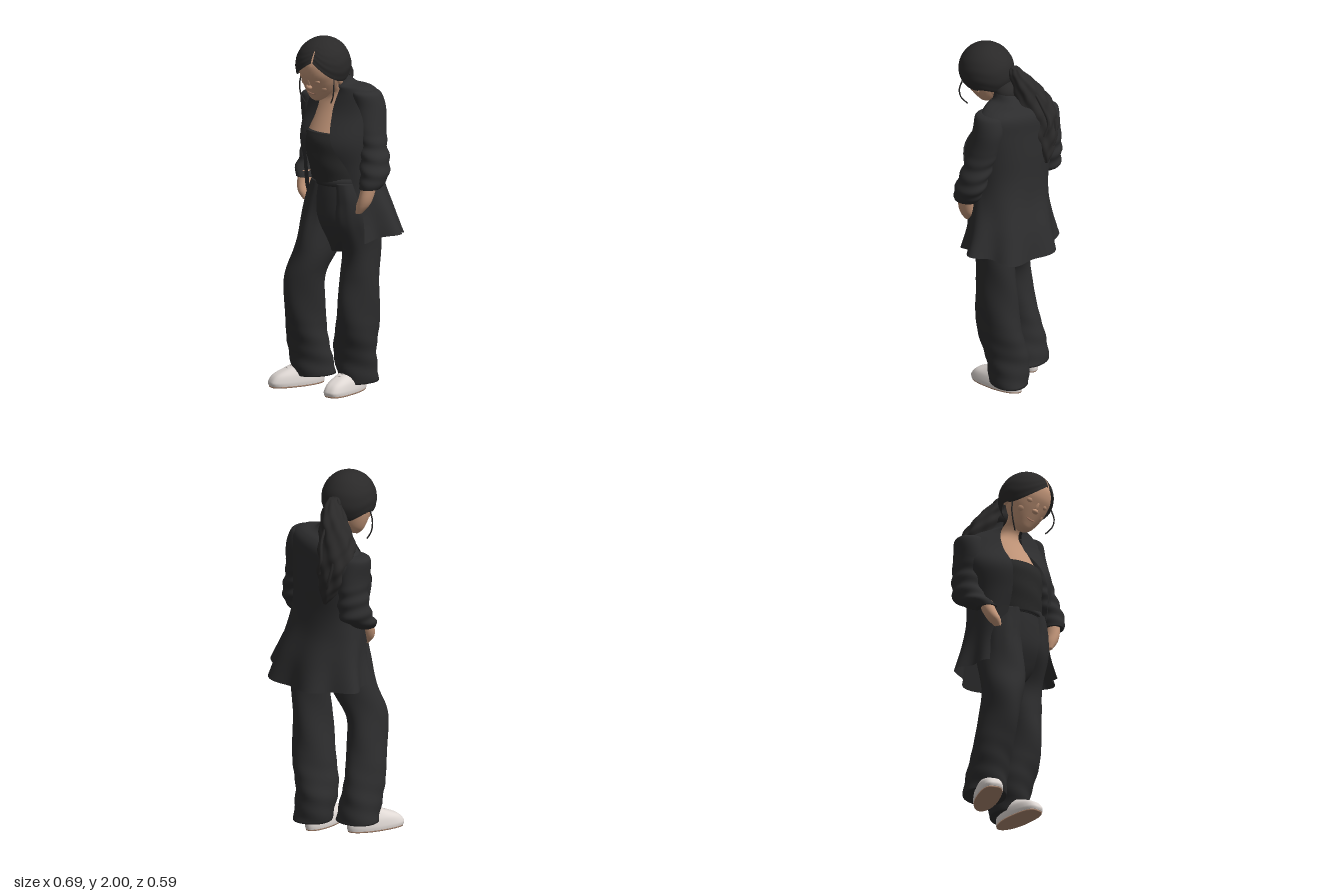
import * as THREE from 'three';
import { mergeVertices } from 'three/addons/utils/BufferGeometryUtils.js';

const mat = (name, color, side = THREE.FrontSide) => {
  const m = new THREE.MeshStandardMaterial({ color, side });
  m.name = name;
  return m;
};
const suit = mat('suit cloth', 0x2d2d2e, THREE.DoubleSide);
const topCloth = mat('top cloth', 0x292929);
const hair = mat('hair', 0x2a2929, THREE.DoubleSide);
const skin = mat('skin', 0xc4977a);
const lip = mat('lips', 0xb08069);
const white = mat('shoe leather', 0xe0d9d5);
const brown = mat('sole', 0xb08a72);

const smooth = THREE.MathUtils.smoothstep;

// Surface from a rule f(u, v): u runs around, v runs downwards
function grid(nu, nv, f) {
  const pos = [], idx = [], w = nu + 1;
  for (let i = 0; i <= nv; i++)
    for (let j = 0; j <= nu; j++) pos.push(...f(j / nu, i / nv));
  for (let i = 0; i < nv; i++)
    for (let j = 0; j < nu; j++) {
      const a = i * w + j, c = a + w;
      idx.push(a, c, a + 1, a + 1, c, c + 1);
    }
  const g = new THREE.BufferGeometry();
  g.setAttribute('position', new THREE.Float32BufferAttribute(pos, 3));
  g.setIndex(idx);
  const m = mergeVertices(g, 1e-5);
  m.computeVertexNormals();
  return m;
}

// Smooth interpolation through a list of cross-sections
function sample(secs, t) {
  const n = secs.length - 1, s = Math.min(t * n, n - 1e-6), i = Math.floor(s), f = s - i;
  const at = (k) => secs[Math.max(0, Math.min(n, k))];
  return secs[0].map((_, k) => {
    const [a, b, c, d] = [at(i - 1)[k], at(i)[k], at(i + 1)[k], at(i + 2)[k]];
    return b + 0.5 * f * (c - a + f * (2 * a - 5 * b + 4 * c - d + f * (3 * (b - c) + d - a)));
  });
}

// Closed form from sections [y, cx, cz, rx, rz], with folds in its radius
function loft(secs, fold = () => 0, nu = 40, nv = 40) {
  return grid(nu, nv + 2, (u, v) => {
    const row = Math.round(v * (nv + 2)) - 1;
    const [y, cx, cz, rx, rz] = sample(secs, Math.max(0, Math.min(1, row / nv)));
    const k = row < 0 || row > nv ? 0 : 1 + fold(u * Math.PI * 2, y);
    const a = (u % 1) * Math.PI * 2;
    return [cx + rx * k * Math.sin(a), y, cz + rz * k * Math.cos(a)];
  });
}

function add(parent, name, geo, material, x = 0, y = 0, z = 0) {
  const m = new THREE.Mesh(geo, material);
  m.name = name;
  m.position.set(x, y, z);
  parent.add(m);
  return m;
}
function ball(parent, name, material, p, s) {
  const m = add(parent, name, new THREE.SphereGeometry(1, 20, 14), material, ...p);
  m.scale.set(...s);
  return m;
}
const strand = (parent, name, material, pts, r) => add(parent, name,
  new THREE.TubeGeometry(new THREE.CatmullRomCurve3(pts.map((p) => new THREE.Vector3(...p))), 16, r, 6), material);

// Jacket sections: y, cx, cz, rx, rz, right and left opening angle, hem flare
const jacketSecs = [
  [1.745, -0.03, 0, 0.064, 0.066, -1, 0.95, 0],
  [1.705, -0.035, -0.02, 0.095, 0.088, -0.7, 0.6, 0],
  [1.68, -0.03, -0.05, 0.175, 0.105, -0.45, 0.32, 0],
  [1.635, -0.035, -0.06, 0.235, 0.122, -0.36, 0.2, 0],
  [1.55, -0.04, -0.045, 0.255, 0.142, -0.33, 0.2, 0],
  [1.42, -0.03, -0.005, 0.24, 0.19, -0.42, 0.42, 0],
  [1.28, -0.02, -0.01, 0.22, 0.188, -0.48, 0.8, 0],
  [1.15, -0.01, -0.03, 0.23, 0.182, -0.56, 0.85, 0.015],
  [1.0, 0.01, -0.06, 0.262, 0.195, -0.72, 0.82, 0.045],
  [0.855, 0.02, -0.07, 0.298, 0.217, -0.8, 0.75, 0.09],
];
function jacketPoint(t, angleOf, lift = 0) {
  const [y, cx, cz, rx, rz, r, l, flare] = sample(jacketSecs, t);
  const a = angleOf(r, l);
  const squareBack = 0.06 * Math.sin(2 * a) ** 2 * smooth(-Math.cos(a), 0, 0.3) * smooth(y, 0.95, 1.2);
  const k = 1 + lift + squareBack + flare * Math.cos(6.6 * (a - Math.PI / 2));
  const x = cx + rx * k * Math.sin(a);
  const slope = 0.14 * (x + 0.04) * smooth(y, 1.35, 1.6);
  const twist = 0.12 * (x + 0.02) * smooth(y, 1.1, 1.4);
  const hem = 0.6 * flare * Math.max(0, Math.sin(a)) ** 3;
  return [x, y + slope + hem, cz + twist + rz * k * Math.cos(a)];
}

function buildJacket(g) {
  add(g, 'jacketBody', grid(90, 60, (u, v) =>
    jacketPoint(v, (r, l) => l + u * (Math.PI * 2 + r - l))), suit);
  // Lapels: raised strips along each front edge, widest at the chest
  for (const s of [-1, 1])
    add(g, s > 0 ? 'leftLapel' : 'rightLapel', grid(8, 24, (u, v) => {
      const w = 0.1 + 0.42 * Math.max(0, 1 - Math.abs(v - 0.42) * 1.8);
      return jacketPoint(0.13 + v * 0.55, (r, l) => (s > 0 ? l + u * w : r - (1 - u) * w), 0.05);
    }), suit);
  const crumple = (a, y) => 0.06 * smooth(y, 1.15, 1.25) * (1 - smooth(y, 1.38, 1.5)) * Math.sin(75 * y + 1.5 * Math.sin(a))
    + 0.02 * Math.sin(2 * a + 22 * y);
  add(g, 'leftSleeve', loft([
    [1.69, 0.125, -0.03, 0.06, 0.06], [1.672, 0.138, -0.035, 0.077, 0.088], [1.6, 0.157, -0.04, 0.08, 0.095],
    [1.5, 0.18, -0.025, 0.077, 0.09], [1.4, 0.205, -0.01, 0.073, 0.085], [1.3, 0.235, 0.01, 0.073, 0.088],
    [1.22, 0.245, 0.035, 0.068, 0.082], [1.175, 0.235, 0.055, 0.055, 0.065]], crumple, 36, 60), suit);
  add(g, 'rightSleeve', loft([
    [1.622, -0.22, -0.07, 0.055, 0.05], [1.6, -0.238, -0.075, 0.083, 0.082], [1.5, -0.238, -0.08, 0.076, 0.097],
    [1.4, -0.237, -0.09, 0.074, 0.097], [1.28, -0.242, -0.075, 0.074, 0.1],
    [1.22, -0.237, -0.01, 0.067, 0.085], [1.175, -0.215, 0.045, 0.052, 0.06]], crumple, 36, 60), suit);
}

function buildBody(g) {
  add(g, 'neckAndChest', loft([
    [1.77, -0.025, 0.08, 0.05, 0.055], [1.7, -0.03, 0.025, 0.05, 0.052], [1.65, -0.035, -0.01, 0.07, 0.068],
    [1.58, -0.035, -0.03, 0.14, 0.11], [1.45, -0.03, -0.005, 0.18, 0.15]]), skin);
  add(g, 'camisole', loft([
    [1.46, -0.03, 0, 0.188, 0.162], [1.4, -0.03, 0, 0.19, 0.177],
    [1.28, -0.015, 0, 0.172, 0.17], [1.17, 0, 0, 0.165, 0.15]],
  (a, y) => 0.008 * Math.sin(50 * y + 2 * a)), topCloth);
  add(g, 'leftForearm', loft([
    [1.21, 0.238, 0.055, 0.036, 0.048], [1.13, 0.222, 0.068, 0.036, 0.046],
    [1.08, 0.204, 0.075, 0.034, 0.04], [1.035, 0.186, 0.088, 0.015, 0.02]]), skin);
  add(g, 'rightForearm', loft([
    [1.21, -0.218, 0.04, 0.036, 0.04], [1.15, -0.212, 0.065, 0.036, 0.04],
    [1.1, -0.195, 0.085, 0.033, 0.036], [1.06, -0.175, 0.095, 0.015, 0.018]]), skin);
}

function buildTrousers(g) {
  add(g, 'waistband', loft([[1.215, 0.005, 0, 0.164, 0.15], [1.175, 0.005, 0, 0.17, 0.156]], undefined, 40, 2), suit);
  add(g, 'hips', loft([
    [1.2, 0.005, 0, 0.16, 0.146], [1.1, 0, 0, 0.18, 0.153], [0.98, 0, 0.003, 0.195, 0.146],
    [0.88, -0.01, 0.005, 0.16, 0.11], [0.79, -0.015, 0.01, 0.06, 0.06]]), suit);
  // Loose cloth folds, deeper towards the hems
  const folds = (a, y) => 0.03 * Math.sin(3 * a + 16 * y) + 0.012 * Math.cos(12 * a) * smooth(y, 0.8, 1)
    + 0.025 * (1 - smooth(y, 0.1, 0.5)) * Math.sin(60 * y + 2 * a);
  add(g, 'rightLeg', loft([
    [1.19, -0.075, 0, 0.085, 0.14], [1.09, -0.092, 0.006, 0.1, 0.148],
    [0.97, -0.105, 0.02, 0.112, 0.146], [0.8, -0.125, 0.065, 0.112, 0.138], [0.65, -0.162, 0.112, 0.1, 0.13],
    [0.5, -0.18, 0.102, 0.095, 0.13], [0.35, -0.195, 0.07, 0.1, 0.125],
    [0.2, -0.198, 0.03, 0.11, 0.12], [0.075, -0.195, 0.005, 0.115, 0.12]], folds, 48, 72), suit);
  add(g, 'leftLeg', loft([
    [1.19, 0.08, 0, 0.085, 0.14], [1.09, 0.092, 0, 0.1, 0.148],
    [0.97, 0.095, -0.005, 0.113, 0.146], [0.8, 0.1, -0.038, 0.102, 0.112], [0.65, 0.095, -0.035, 0.098, 0.118],
    [0.5, 0.085, -0.032, 0.102, 0.13], [0.35, 0.068, -0.043, 0.11, 0.13],
    [0.2, 0.04, -0.063, 0.112, 0.12], [0.05, 0.045, -0.083, 0.1, 0.112]], folds, 48, 72), suit);
}

function buildShoe(parent, name, x, y, z, yaw) {
  const g = new THREE.Group();
  g.name = name;
  g.position.set(x, y, z);
  g.rotation.y = yaw;
  // Blunt toe and narrower heel
  const outline = (a) => 0.13 * Math.sin(2 * a) ** 2 * Math.max(0, Math.cos(a)) ** 0.5 - 0.04 * Math.max(0, -Math.cos(a));
  add(g, 'sole', loft([[0.008, 0, 0, 0.064, 0.163], [0, 0, 0, 0.063, 0.162]], outline, 40, 2), brown);
  add(g, 'upper', loft([
    [0.125, 0, -0.075, 0.036, 0.065], [0.095, 0, -0.045, 0.049, 0.117],
    [0.065, 0, -0.012, 0.061, 0.15], [0.03, 0, 0, 0.067, 0.167], [0.008, 0, 0, 0.066, 0.165]], outline), white);
  for (let i = 0; i < 2; i++)
    strand(g, 'lace', white, [[-0.028, 0.088 + i * 0.009, 0.06 - i * 0.025], [0, 0.098 + i * 0.009, 0.062 - i * 0.025],
      [0.028, 0.088 + i * 0.009, 0.06 - i * 0.025]], 0.005);
  parent.add(g);
}

function buildHead(parent) {
  const g = new THREE.Group();
  g.name = 'head';
  g.position.set(-0.02, 1.842, 0.14);
  g.rotation.set(0.43, -0.05, -0.17);
  parent.add(g);
  add(g, 'face', loft([
    [0.12, 0, 0, 0.05, 0.05], [0.09, 0, 0.004, 0.098, 0.106], [0.03, 0, 0.014, 0.122, 0.122], [-0.03, 0, 0.02, 0.12, 0.116],
    [-0.08, 0, 0.033, 0.104, 0.099], [-0.125, 0, 0.05, 0.08, 0.077], [-0.16, 0, 0.067, 0.052, 0.054],
    [-0.18, 0, 0.08, 0.02, 0.025]]), skin);
  ball(g, 'noseBridge', skin, [0, -0.035, 0.128], [0.012, 0.035, 0.014]);
  ball(g, 'noseTip', skin, [0, -0.06, 0.135], [0.019, 0.014, 0.018]);
  strand(g, 'mouth', lip, [[-0.036, -0.1, 0.116], [-0.016, -0.11, 0.126], [0.016, -0.11, 0.126], [0.036, -0.1, 0.116]], 0.005);
  for (const s of [-1, 1]) {
    ball(g, 'eyelid', skin, [s * 0.043, -0.015, 0.118], [0.026, 0.016, 0.013]);
    ball(g, 'cheek', skin, [s * 0.052, -0.07, 0.088], [0.034, 0.032, 0.028]);
    ball(g, 'ear', skin, [s * 0.117, -0.05, 0.01], [0.014, 0.035, 0.022]);
  }
  // Hair cap, cut along a hairline that peaks at the parting and drops to the nape
  const part = 0.25;
  const capPoint = (a, th, k) => {
    const q = 0.15 * k;
    return [q * 0.97 * Math.sin(th) * Math.sin(a), q * 1.02 * Math.cos(th), q * 1.03 * Math.sin(th) * Math.cos(a)];
  };
  add(g, 'hairCap', grid(72, 36, (u, v) => {
    const a = (u % 1) * Math.PI * 2;
    const d = Math.abs(Math.atan2(Math.sin(a - part), Math.cos(a - part)));
    const edge = 0.82 + 1.2 * smooth(d, -0.15, 1.5) + 0.65 * smooth(d, 1.5, 2.5);
    return capPoint(a, v * edge, 1 + 0.006 * Math.sin(34 * v) * v + 0.025 * smooth(d, 0, 0.5) * v * (1 - v));
  }), hair);
  add(g, 'parting', grid(2, 10, (u, v) => capPoint(part + (u - 0.5) * 0.09, 0.42 + v * 0.56, 1.008)), skin);
}

function buildPonytail(g) {
  ball(g, 'napeHair', hair, [-0.03, 1.75, 0.005], [0.066, 0.055, 0.066]);
  const tie = add(g, 'hairTie', new THREE.TorusGeometry(0.03, 0.012, 8, 20), hair, -0.06, 1.86, -0.035);
  tie.rotation.x = 0.5;
  add(g, 'ponytail', loft([
    [1.895, -0.055, -0.04, 0.02, 0.025], [1.86, -0.062, -0.05, 0.042, 0.05], [1.8, -0.088, -0.075, 0.068, 0.068],
    [1.72, -0.12, -0.092, 0.094, 0.084], [1.62, -0.143, -0.12, 0.11, 0.092], [1.54, -0.15, -0.135, 0.1, 0.088],
    [1.46, -0.148, -0.155, 0.075, 0.068], [1.4, -0.138, -0.178, 0.045, 0.042], [1.35, -0.13, -0.195, 0.01, 0.01]],
  (a, y) => 0.05 * Math.sin(7 * a + 24 * y) + 0.05 * Math.sin(5 * a - 60 * y), 64, 60), hair);
  // Loose locks
  strand(g, 'looseLock', hair, [[-0.09, 1.8, -0.12], [-0.1, 1.7, -0.19], [-0.12, 1.6, -0.22], [-0.1, 1.52, -0.21]], 0.009);
  strand(g, 'looseLock', hair, [[-0.15, 1.72, -0.14], [-0.19, 1.6, -0.2], [-0.17, 1.48, -0.22], [-0.14, 1.4, -0.2]], 0.009);
  strand(g, 'leftTempleLock', hair, [[0.105, 1.8, 0.2], [0.115, 1.74, 0.215], [0.105, 1.69, 0.21], [0.075, 1.65, 0.19]], 0.004);
  strand(g, 'rightTempleLock', hair, [[-0.14, 1.79, 0.17], [-0.15, 1.72, 0.18], [-0.14, 1.66, 0.18], [-0.12, 1.62, 0.17]], 0.004);
}

export function createModel() {
  const model = new THREE.Group();
  model.name = 'standingWoman';
  const section = (name, build) => {
    const g = new THREE.Group();
    g.name = name;
    build(g);
    model.add(g);
  };
  section('body', buildBody);
  section('trousers', buildTrousers);
  section('jacket', buildJacket);
  section('shoes', (g) => {
    buildShoe(g, 'rightShoe', -0.243, 0.015, 0.083, -0.43);
    buildShoe(g, 'leftShoe', 0.035, 0, 0.005, 0.05);
  });
  section('headAndHair', (g) => {
    buildHead(g);
    buildPonytail(g);
  });
  return model;
}
